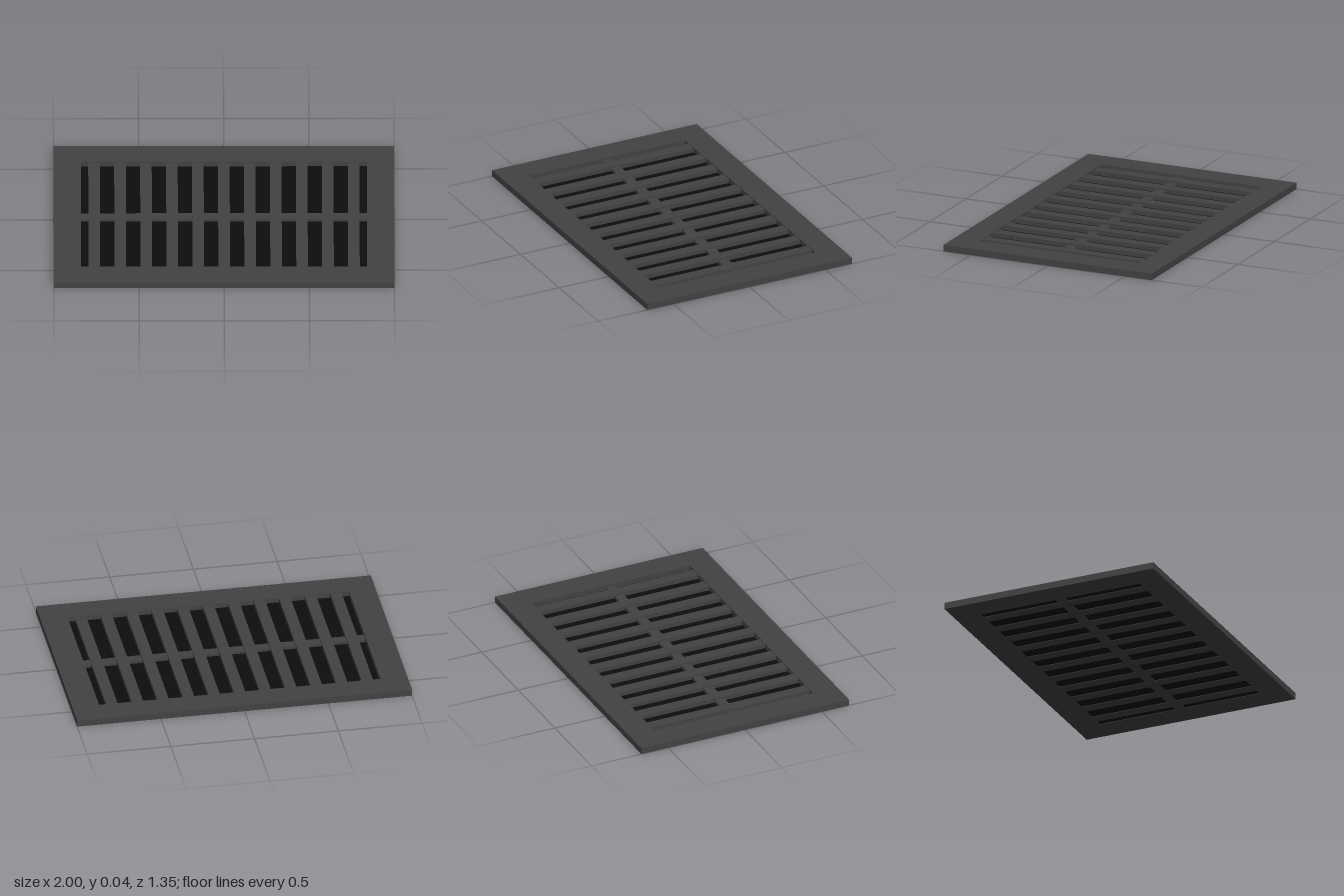
import * as THREE from 'three';

export function createModel() {
  const group = new THREE.Group();
  group.name = 'floorVent';

  const iron = new THREE.MeshStandardMaterial({ color: 0x424242 });
  iron.name = 'dark grey metal';
  const black = new THREE.MeshStandardMaterial({ color: 0x0d0d0d });
  black.name = 'black backing';

  const W = 1, D = 0.675, H = 0.04;   // outer half sizes and height
  const w = 0.84, d = 0.516;          // opening half sizes

  const add = (name, geometry, material) => {
    const mesh = new THREE.Mesh(geometry, material);
    mesh.name = name;
    group.add(mesh);
    return mesh;
  };
  const box = (name, sx, y0, y1, sz, x, material) =>
    add(name, new THREE.BoxGeometry(sx, y1 - y0, sz), material).position.set(x, (y0 + y1) / 2, 0);

  // Outer frame with a rectangular opening
  const rect = (path, a, b) =>
    path.moveTo(-a, -b).lineTo(a, -b).lineTo(a, b).lineTo(-a, b).closePath();
  const shape = rect(new THREE.Shape(), W, D);
  shape.holes.push(rect(new THREE.Path(), w, d));
  const frame = new THREE.ExtrudeGeometry(shape, { depth: H, bevelEnabled: false });
  frame.rotateX(-Math.PI / 2);
  add('frame', frame, iron);

  // Slats, slightly below the frame's top
  const pitch = 0.1525;
  for (let i = -5; i <= 5; i++) box('slat', 0.068, 0, 0.035, 2 * d, i * pitch, iron);

  // Low cross bar pieces between the slats
  for (let i = -6; i < 6; i++) {
    const x0 = Math.max(-w, i * pitch + 0.034);
    const x1 = Math.min(w, (i + 1) * pitch - 0.034);
    box('crossBar', x1 - x0, 0, 0.026, 0.06, (x0 + x1) / 2, iron);
  }

  // Thin dark panel behind the slots
  box('backing', 2 * w, 0.003, 0.009, 2 * d, 0, black);

  return group;
}
